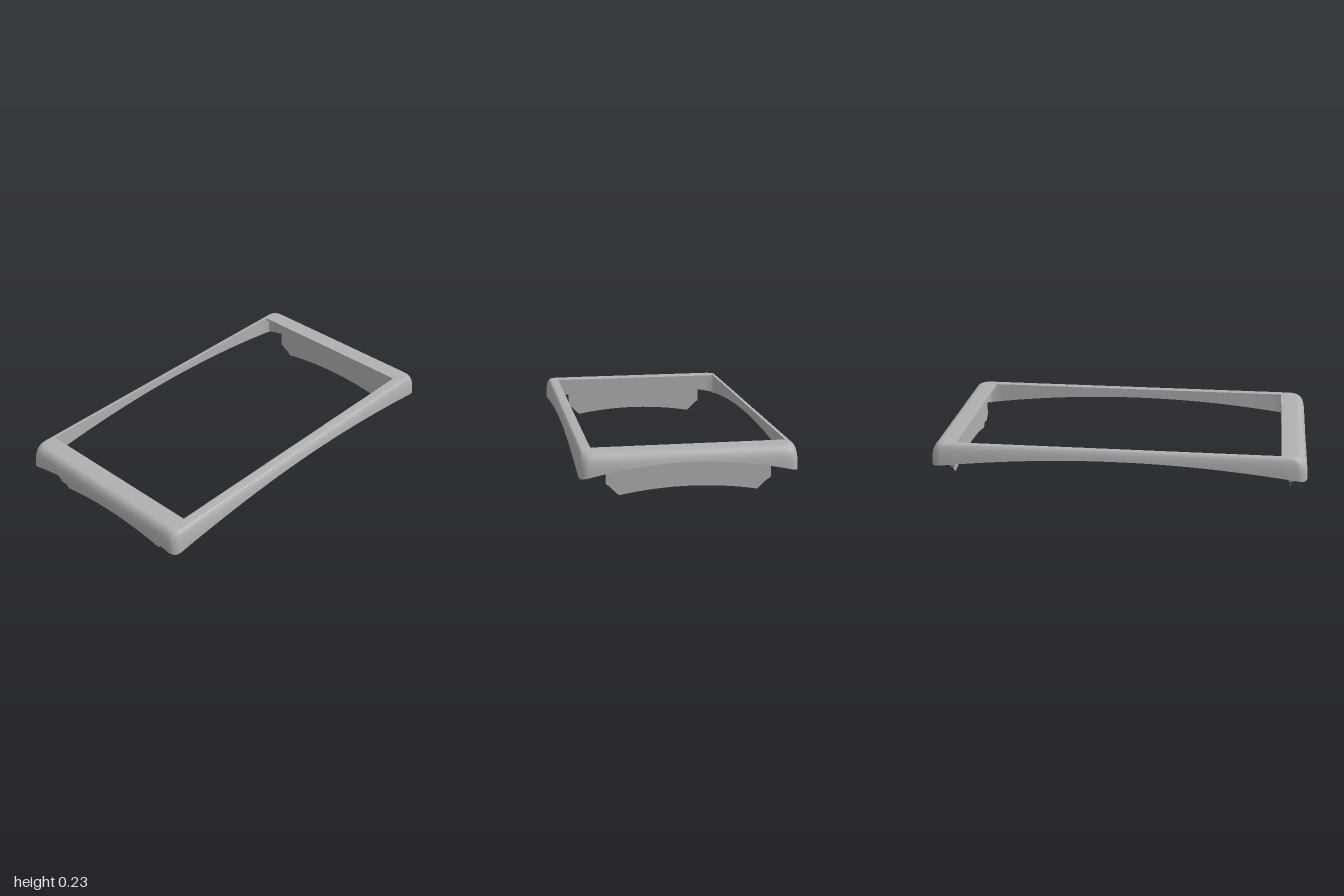
import * as THREE from 'three';
import { toCreasedNormals } from 'three/addons/utils/BufferGeometryUtils.js';

const TOP = 0.236, LOW = 0.107, HX = 1, HZ = 0.55;

// Rounded rectangle in plan, always with the same number of points
function planLoop(hx, z0, z1, r, arc = 8, side = 24) {
  const corners = [[hx - r, z1 - r], [r - hx, z1 - r], [r - hx, z0 + r], [hx - r, z0 + r]];
  const at = (q, k) => {
    const a = (q + k / arc) * Math.PI / 2, c = corners[q % 4];
    return new THREE.Vector2(c[0] + r * Math.cos(a), c[1] + r * Math.sin(a));
  };
  const pts = [];
  for (let q = 0; q < 4; q++) {
    for (let k = 0; k <= arc; k++) pts.push(at(q, k));
    for (let k = 1; k < side; k++) pts.push(at(q, arc).lerp(at(q + 1, 0), k / side));
  }
  return pts;
}

// Bottom edge arches up at the middle of every side
function bottomY(p) {
  const arch = (v) => 0.07 * Math.max(0, 1 - v * v);
  return LOW + Math.max(arch(p.x / HX), arch(p.y / HZ));
}

// Inward rounding of the outer skin towards the top
function rounding(y) {
  const u = Math.min(1, Math.max(0, (y - LOW) / (TOP - LOW)));
  return 1 - Math.pow(1 - Math.pow(u, 2.5), 0.4);
}

function frameGeometry() {
  const outer = planLoop(HX, -HZ, HZ, 0.05);
  const lip = planLoop(0.86, -0.51, 0.48, 0.006);
  const wall = planLoop(0.905, -0.524, 0.498, 0.012);
  const rings = [];
  const steps = 10;
  for (let k = 0; k <= steps; k++) {
    const t = Math.pow(1 - k / steps, 2);
    rings.push(outer.map((p) => {
      const y = THREE.MathUtils.lerp(TOP, bottomY(p), t), f = rounding(y);
      return [p.x * (1 - 0.06 * f), y, p.y * (1 - 0.052 * f)];
    }));
  }
  rings.push(lip.map((p) => [p.x, TOP, p.y]));
  rings.push(lip.map((p) => [p.x, TOP - 0.012, p.y]));
  rings.push(wall.map((p) => [p.x, TOP - 0.014, p.y]));
  rings.push(wall.map((p, i) => [p.x, bottomY(outer[i]), p.y]));

  // Join the rings into a closed band
  const n = outer.length, index = [];
  for (let r = 0; r < rings.length; r++) {
    const s = (r + 1) % rings.length;
    for (let i = 0; i < n; i++) {
      const j = (i + 1) % n;
      const a = r * n + i, b = r * n + j, c = s * n + i, d = s * n + j;
      index.push(a, c, b, b, c, d);
    }
  }
  const g = new THREE.BufferGeometry();
  g.setAttribute('position', new THREE.Float32BufferAttribute(rings.flat(2), 3));
  g.setIndex(index);
  return toCreasedNormals(g, 0.55);
}

// Clip outline drawn as (z, y), with chamfered ends and an arched bottom
function clipShape(top, shoulder, shoulderZ, endZ, endY, midY) {
  const s = new THREE.Shape();
  s.moveTo(-shoulderZ - 0.008, shoulder);
  s.lineTo(-endZ - 0.008, endY);
  s.quadraticCurveTo(0, 2 * midY - endY, endZ, endY);
  s.lineTo(shoulderZ, shoulder);
  s.lineTo(shoulderZ, top);
  s.lineTo(-shoulderZ - 0.008, top);
  s.closePath();
  return s;
}

export function createModel() {
  const group = new THREE.Group();
  const grey = new THREE.MeshStandardMaterial({ color: 0xb0b0b0, side: THREE.DoubleSide });
  grey.name = 'grey';
  const add = (name, geometry, x = 0) => {
    const mesh = new THREE.Mesh(geometry, grey);
    mesh.name = name;
    mesh.position.x = x;
    group.add(mesh);
  };

  add('frame', frameGeometry());

  // Hanging clip and thin lower tab at each end
  const clip = new THREE.ExtrudeGeometry(clipShape(0.125, 0.066, 0.412, 0.372, 0.038, 0.068),
    { depth: 0.028, bevelEnabled: false, curveSegments: 24 });
  clip.rotateY(-Math.PI / 2).translate(0.014, 0, 0);
  // Root that fills the arch between clip and frame
  const root = new THREE.BoxGeometry(0.028, 0.085, 0.832).translate(0, 0.1625, -0.004);
  const tab = new THREE.ShapeGeometry(clipShape(0.08, 0.066, 0.412, 0.347, 0.002, 0.034), 24);
  tab.rotateY(-Math.PI / 2);
  for (const [side, sign] of [['left', 1], ['right', -1]]) {
    add(side + 'Clip', clip, sign * 0.919);
    add(side + 'ClipRoot', root, sign * 0.919);
    add(side + 'ClipTab', tab, sign * 0.917);
  }
  return group;
}
